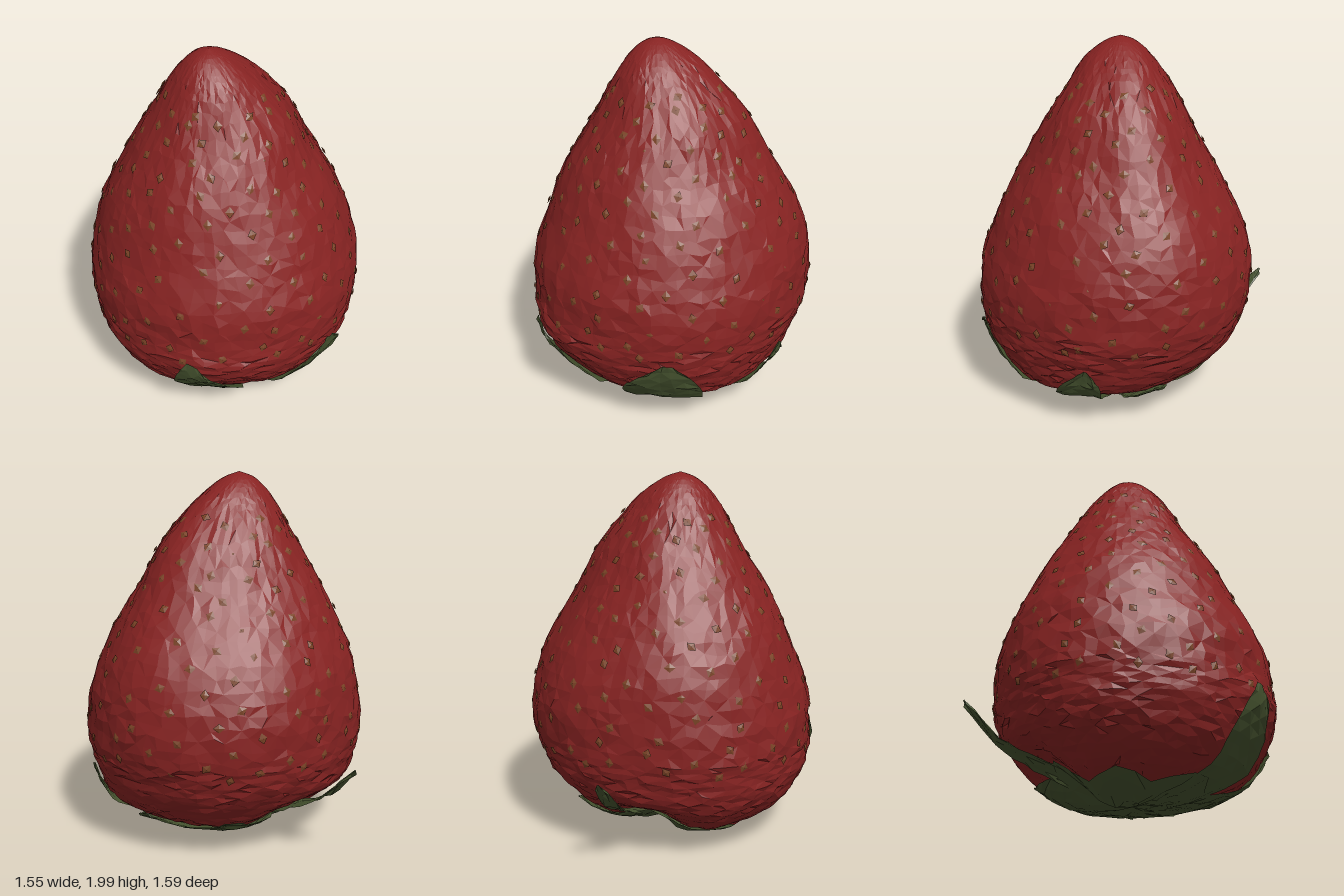
import * as THREE from 'three';
import { mergeGeometries } from 'three/addons/utils/BufferGeometryUtils.js';

// Fruit sections from stalk end (bottom) to tip (top): y, xMin, xMax, zMin, zMax
const ROWS = [
  [0.07, 0, 0, 0, 0], [0.07, -0.22, 0.2, -0.2, 0.2], [0.12, -0.46, 0.46, -0.42, 0.44],
  [0.2, -0.59, 0.64, -0.54, 0.6], [0.3, -0.69, 0.7, -0.64, 0.68], [0.4, -0.735, 0.73, -0.71, 0.74],
  [0.5, -0.755, 0.75, -0.75, 0.765], [0.6, -0.77, 0.765, -0.775, 0.762], [0.8, -0.755, 0.745, -0.778, 0.75],
  [1.0, -0.71, 0.685, -0.72, 0.67], [1.2, -0.635, 0.59, -0.605, 0.58], [1.4, -0.53, 0.46, -0.485, 0.48],
  [1.6, -0.415, 0.36, -0.38, 0.355], [1.8, -0.3, 0.2, -0.25, 0.24], [1.9, -0.23, 0.1, -0.17, 0.17],
  [1.97, -0.16, 0.0, -0.08, 0.08], [2.0, -0.08, -0.08, 0, 0],
];
const LAST = ROWS.length - 1;
const minCurve = new THREE.CatmullRomCurve3(ROWS.map(r => new THREE.Vector3(r[1], r[0], r[3])));
const maxCurve = new THREE.CatmullRomCurve3(ROWS.map(r => new THREE.Vector3(r[2], r[0], r[4])));

// Bell-shaped weights around a value and around a direction
const bell = (v, mid, width) => Math.exp(-(((v - mid) / width) ** 2));
const facing = (a, degrees, width) => {
  const d = a - THREE.MathUtils.degToRad(degrees);
  return bell(Math.atan2(Math.sin(d), Math.cos(d)), 0, width);
};

// Point on the fruit at angle a (0 = +x, 90 degrees = +z) and row position
function fruitPoint(a, row) {
  const t = THREE.MathUtils.clamp(row / LAST, 0, 1);
  const lo = minCurve.getPoint(t), hi = maxCurve.getPoint(t);
  const rx = (hi.x - lo.x) / 2, rz = (hi.z - lo.z) / 2, y = lo.y;
  // shoulder on the back left, flatter back right, low swelling on the front
  const swell = 0.07 * facing(a, -45, 0.5) * bell(y, 1.4, 0.55)
    + 0.025 * facing(a, -45, 0.5) * bell(y, 0.6, 0.35)
    - 0.035 * facing(a, -135, 0.45) * bell(y, 0.75, 0.45)
    + 0.02 * facing(a, 135, 0.4) * bell(y, 0.2, 0.2)
    + 0.025 * facing(a, 98, 0.25) * bell(y, 0.48, 0.12);
  const k = 1 + swell / Math.max(0.25, rx);
  const p = new THREE.Vector3(
    (lo.x + hi.x) / 2 + rx * k * Math.cos(a), y,
    (lo.z + hi.z) / 2 + rz * k * Math.sin(a));
  // tilted underside with a notch at the back right
  const under = Math.max(0, 0.35 - y);
  p.y += under * (0.15 * p.x + 0.6 * facing(a, -135, 0.4) * Math.min(1, rx / 0.45));
  return p;
}

function fruitNormal(a, row) {
  const up = fruitPoint(a, row + 0.1).sub(fruitPoint(a, row - 0.1));
  const side = fruitPoint(a + 0.05, row).sub(fruitPoint(a - 0.05, row));
  return up.cross(side).normalize();
}

function seeded(seed) {
  return () => {
    seed = (seed * 16807) % 2147483647;
    return seed / 2147483647 - 0.5;
  };
}

// Grid surface from a point function; outside faces away from the fruit
function gridSurface(cols, rows, point, closed = false) {
  const pos = [], index = [], n = closed ? cols : cols + 1;
  for (let j = 0; j <= rows; j++)
    for (let i = 0; i < n; i++) pos.push(...point(i / cols, j / rows).toArray());
  for (let j = 0; j < rows; j++)
    for (let i = 0; i < cols; i++) {
      const a = j * n + i, b = j * n + (i + 1) % n, c = a + n, d = b + n;
      if ((i + j) % 2) index.push(a, c, b, b, c, d);
      else index.push(a, c, d, a, d, b);
    }
  const g = new THREE.BufferGeometry();
  g.setAttribute('position', new THREE.Float32BufferAttribute(pos, 3));
  g.setIndex(index);
  g.computeVertexNormals();
  return g;
}

// Bumpy faceted fruit
function fruitGeometry() {
  const rnd = seeded(71);
  return gridSurface(72, 56, (u, v) => {
    const inner = v > 0 && v < 1;
    const a = u * Math.PI * 2 + (inner ? rnd() * 0.05 : 0);
    const row = v * LAST + (inner ? rnd() * 0.14 : 0);
    const p = fruitPoint(a, row);
    if (inner) {
      const rough = p.y < 0.9 ? 0.014 : 0.009;
      const wave = 0.005 * Math.sin(5 * a + row) * Math.sin(1.7 * row - 2 * a);
      const fade = Math.min(1, (2 - p.y) * 4);
      p.addScaledVector(fruitNormal(a, row), (rnd() * rough + wave) * fade);
    }
    return p;
  }, true);
}

// Sepal growing from the underside and up the flank, with a blunt ragged tip
function leafGeometry({ angle, end, width, lift = 0, twist = 0, skew = 0 }, seed) {
  const rnd = seeded(seed);
  const a0 = THREE.MathUtils.degToRad(angle);
  return gridSurface(6, 12, (u, v) => {
    const row = 0.9 + v * (end - 0.9), side = u * 2 - 1;
    const mid = fruitPoint(a0, row);
    const r = Math.max(0.25, Math.hypot(mid.x, mid.z));
    const w = width * (0.75 + 0.4 * Math.sin(Math.PI * v)) * Math.sqrt(1 - 0.75 * v ** 6);
    const a = a0 + side * w / r + twist * v * v;
    const rowHere = row + (skew * side - 0.35 * side * side) * v * v;
    const p = fruitPoint(a, rowHere);
    const out = 0.014 + rnd() * 0.014 + 0.008 * Math.abs(side);
    p.addScaledVector(fruitNormal(a, rowHere), out);
    const h = lift * v ** 3;
    return p.add(new THREE.Vector3(Math.cos(a0) * h, 0, Math.sin(a0) * h));
  });
}

const LEAVES = [
  { angle: 100, end: 6.2, width: 0.15, twist: 0.04, skew: 0.6 },
  { angle: 48, end: 6, width: 0.2, twist: -0.06, skew: -0.2 },
  { angle: -9, end: 5.2, width: 0.12, twist: -0.06 },
  { angle: -48, end: 3.4, width: 0.13 },
  { angle: -92, end: 3.3, width: 0.18 },
  { angle: -127, end: 6.4, width: 0.06, lift: 0.17, twist: -0.1 },
];

// Ragged green cap under the fruit, lowest beside the stalk
function capGeometry() {
  const rnd = seeded(19);
  return gridSurface(30, 5, (u, v) => {
    const a = u * Math.PI * 2;
    const row = v * (2.05 + 0.3 * Math.sin(a * 7)) + (v > 0 ? rnd() * 0.15 : 0);
    const p = fruitPoint(a, row);
    p.y -= 0.018 + (v > 0 ? rnd() * 0.016 : 0) + 0.045 * bell(p.x, -0.2, 0.12) * bell(p.z, -0.08, 0.15);
    return p;
  }, true);
}

// Flat seeds in a spiral, almost flush with the skin
function seedGeometry() {
  const parts = [], rnd = seeded(5), z = new THREE.Vector3(0, 0, 1);
  for (let i = 0; i < 210; i++) {
    const a = i * 2.39996 + rnd() * 0.15;
    const row = 6.2 + 6.8 * (i / 210) + rnd() * 0.2;
    const n = fruitNormal(a, row);
    const g = new THREE.OctahedronGeometry(1).scale(0.024, 0.03, 0.006);
    g.rotateZ(rnd() * 2);
    g.applyQuaternion(new THREE.Quaternion().setFromUnitVectors(z, n));
    const p = fruitPoint(a, row).addScaledVector(n, 0.003);
    parts.push(g.translate(p.x, p.y, p.z));
  }
  return mergeGeometries(parts);
}

export function createModel() {
  const model = new THREE.Group();
  model.name = 'strawberry';
  const material = (color, side = THREE.FrontSide) =>
    new THREE.MeshStandardMaterial({ color, side, flatShading: true });
  const add = (name, geometry, mat) => {
    const mesh = new THREE.Mesh(geometry, mat);
    mesh.name = name;
    model.add(mesh);
  };
  const green = material(0x46532f, THREE.DoubleSide);
  add('fruit', fruitGeometry(), material(0x882322));
  add('seeds', seedGeometry(), material(0x7a4426));
  add('calyxCap', capGeometry(), green);
  LEAVES.forEach((leaf, i) => add('leaf' + (i + 1), leafGeometry(leaf, 100 + i * 37), green));
  return model;
}
